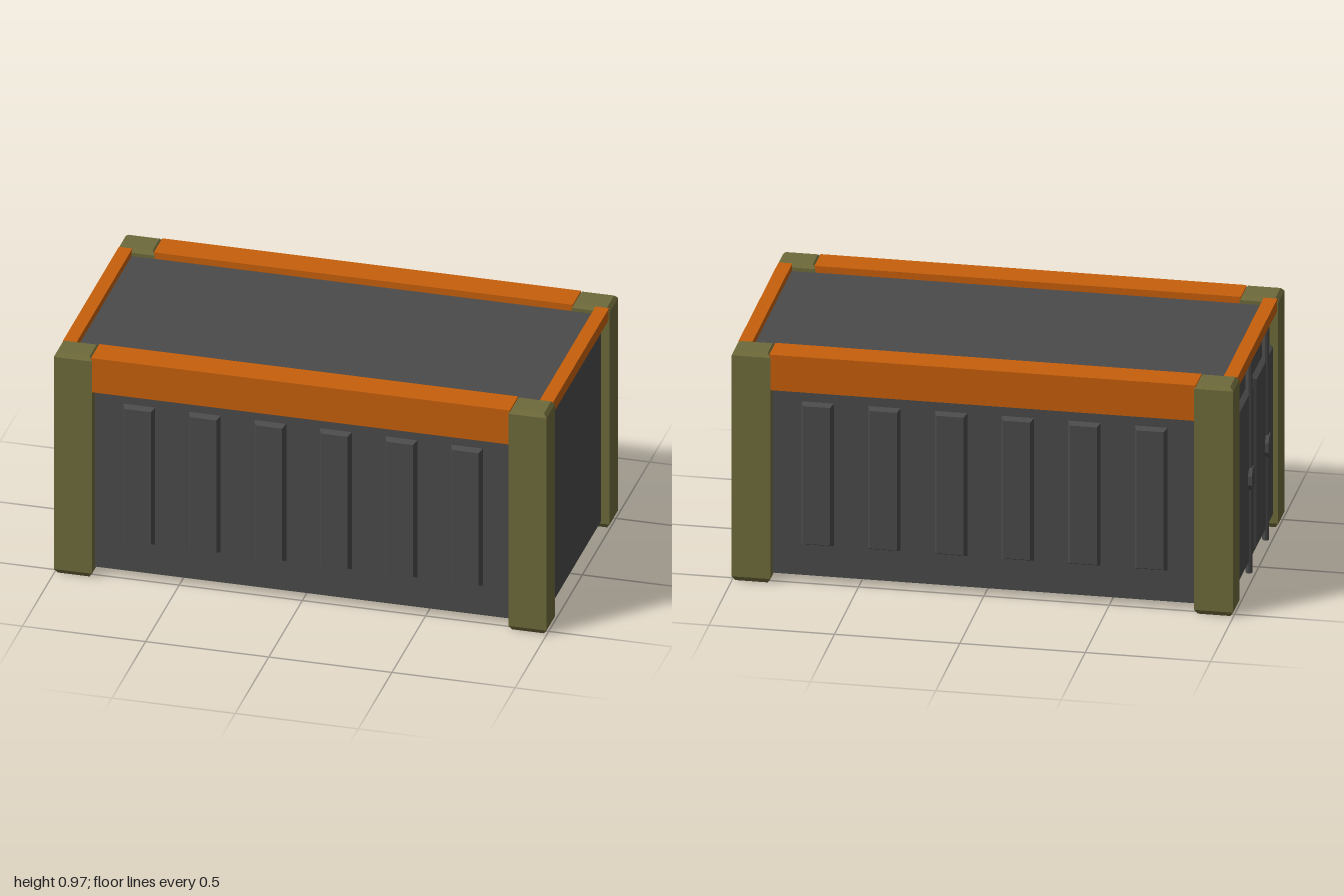
import * as THREE from 'three';

const mat = (name, color) => Object.assign(new THREE.MeshStandardMaterial({ color }), { name });

// Flat-faced box whose vertices are moved by a rule
function shapedBox(w, h, d, ySegments, rule) {
  const geo = new THREE.BoxGeometry(w, h, d, 1, ySegments, 1).toNonIndexed();
  const p = geo.attributes.position;
  const v = new THREE.Vector3();
  for (let i = 0; i < p.count; i++) {
    rule(v.fromBufferAttribute(p, i));
    p.setXYZ(i, v.x, v.y, v.z);
  }
  geo.computeVertexNormals();
  return geo;
}

// Raised panel: the +z face is smaller than the back
const raisedPanel = (w, h, d, inset) => shapedBox(w, h, d, 1, (v) => {
  if (v.z > 0) {
    v.x -= Math.sign(v.x) * inset;
    v.y -= Math.sign(v.y) * inset;
  }
});

// Corner post with chamfered top and foot
function postGeometry(w, h, d, top, foot, inset) {
  return shapedBox(w, h, d, 3, (v) => {
    const row = Math.round((v.y / h + 0.5) * 3);
    v.y = [0, foot, h - top, h][row];
    if (row === 0 || row === 3) {
      v.x -= Math.sign(v.x) * inset;
      v.z -= Math.sign(v.z) * inset;
    }
  });
}

export function createModel() {
  const model = new THREE.Group();
  model.name = 'cargoContainer';
  const grey = mat('dark grey metal', 0x4a4a4a);
  const orange = mat('orange trim', 0xc65f0b);
  const olive = mat('olive posts', 0x6e6a3b);

  const add = (name, geo, material, x, y, z, parent = model) => {
    const mesh = new THREE.Mesh(geo, material);
    mesh.name = name;
    mesh.position.set(x, y, z);
    parent.add(mesh);
    return mesh;
  };

  // Main hull
  add('hull', new THREE.BoxGeometry(1.93, 0.91, 0.98), grey, 0, 0.485, 0);

  // Corner posts
  const post = postGeometry(0.155, 0.97, 0.13, 0.015, 0.02, 0.013);
  for (const sx of [-1, 1]) {
    for (const sz of [-1, 1]) add('cornerPost', post, olive, sx * 0.9225, 0, sz * 0.469);
  }

  // Top trim
  const longBeam = new THREE.BoxGeometry(1.7, 0.15, 0.125);
  const endBeam = new THREE.BoxGeometry(0.055, 0.05, 0.83);
  for (const s of [-1, 1]) {
    add('longTopBeam', longBeam, orange, 0, 0.893, s * 0.468);
    add('endTopBeam', endBeam, orange, s * 0.9675, 0.943, 0);
  }

  // Six raised ribs on each long wall
  const rib = raisedPanel(0.132, 0.606, 0.025, 0.012);
  for (const s of [1, -1]) {
    for (let i = 0; i < 6; i++) {
      const mesh = add('wallRib', rib, grey, (i - 2.5) * 0.266, 0.462, s * 0.5);
      if (s < 0) mesh.rotation.y = Math.PI;
    }
  }

  // Double doors with locking rods on the -x end
  const doors = new THREE.Group();
  doors.name = 'doors';
  model.add(doors);
  const door = raisedPanel(0.37, 0.73, 0.024, 0.012);
  for (const s of [-1, 1]) {
    add('doorPanel', door, grey, -0.973, 0.425, s * 0.205, doors).rotation.y = -Math.PI / 2;
  }
  const rod = new THREE.CylinderGeometry(0.014, 0.014, 0.9, 8).toNonIndexed();
  rod.computeVertexNormals();
  const lock = new THREE.CylinderGeometry(0.05, 0.05, 0.02, 8).toNonIndexed();
  lock.rotateY(Math.PI / 8).rotateZ(Math.PI / 2).scale(1, 1, 0.75);
  lock.computeVertexNormals();
  for (const z of [-0.11, 0.2375]) {
    add('lockingRod', rod, grey, -0.982, 0.47, z, doors);
    add('lockPlate', lock, grey, -0.99, 0.42, z, doors);
  }

  return model;
}
